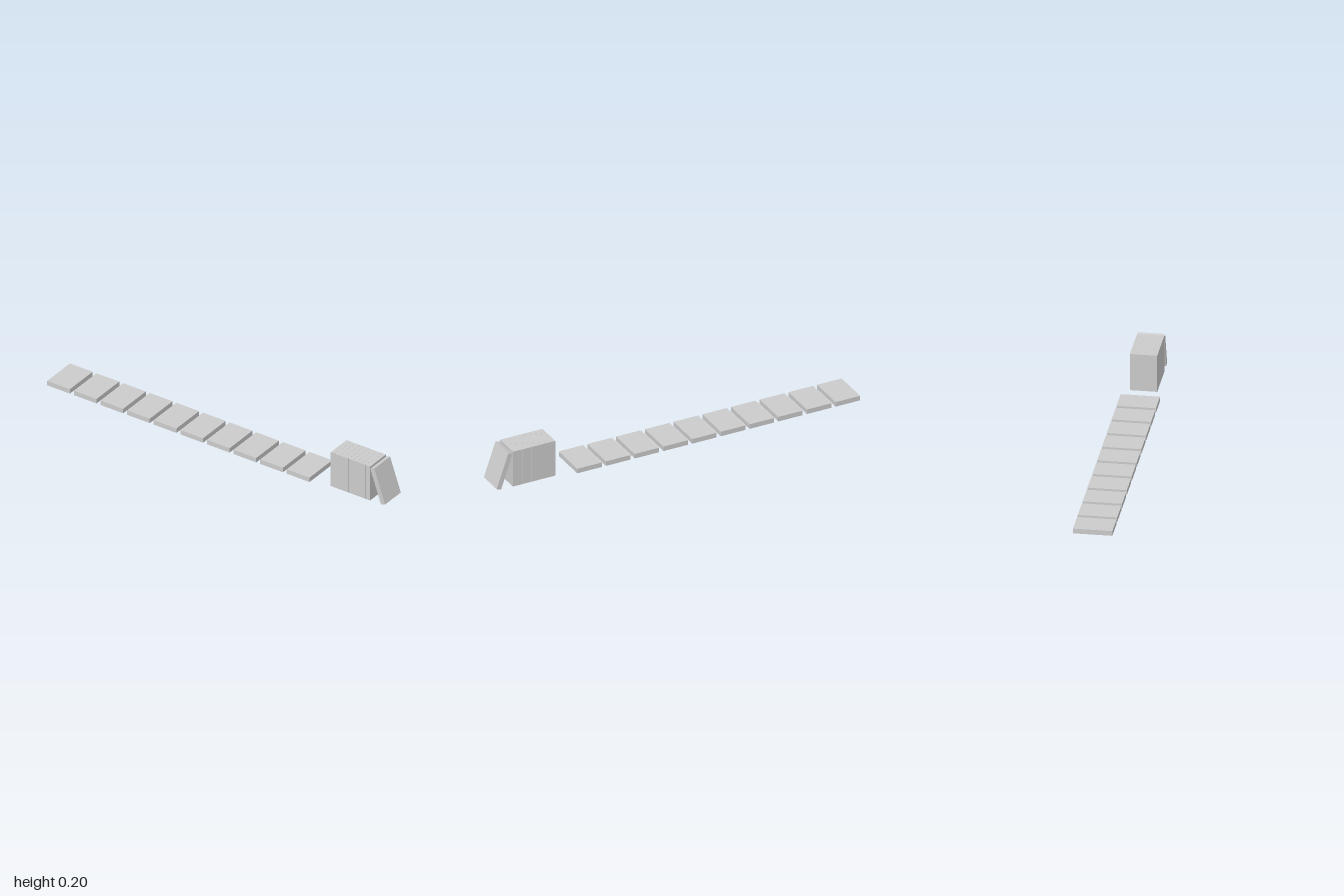
import * as THREE from 'three';

const THICK = 0.0256, WIDTH = 0.136, LENGTH = 0.196;

export function createModel() {
  const model = new THREE.Group();
  const material = new THREE.MeshStandardMaterial({ color: 0xcccccc, flatShading: true });
  const uprightSlab = new THREE.BoxGeometry(THICK, LENGTH, WIDTH);
  const flatSlab = new THREE.BoxGeometry(WIDTH, THICK, LENGTH);

  const addSlab = (name, parent, geometry, x, y) => {
    const mesh = new THREE.Mesh(geometry, material);
    mesh.name = name;
    mesh.position.set(x, y, 0);
    parent.add(mesh);
    return mesh;
  };

  // Row of ten slabs lying flat
  const row = new THREE.Group();
  row.name = 'flatRow';
  for (let i = 0; i < 10; i++) {
    addSlab('flatSlab' + (i + 1), row, flatSlab, -1 + WIDTH / 2 + i * 0.1592, THICK / 2);
  }

  // Nine slabs standing side by side with hairline gaps
  const stack = new THREE.Group();
  stack.name = 'standingStack';
  for (let i = 0; i < 9; i++) {
    addSlab('standingSlab' + (i + 1), stack, uprightSlab, 0.675 + THICK / 2 + i * 0.0262, LENGTH / 2);
  }

  // Last slab leaning against the stack
  const tilt = 0.335;
  const halfX = (LENGTH * Math.sin(tilt) + THICK * Math.cos(tilt)) / 2;
  const halfY = (LENGTH * Math.cos(tilt) + THICK * Math.sin(tilt)) / 2;
  const leaning = addSlab('leaningSlab', model, uprightSlab, 1 - halfX, halfY);
  leaning.rotation.z = tilt;

  model.add(row, stack);
  return model;
}
